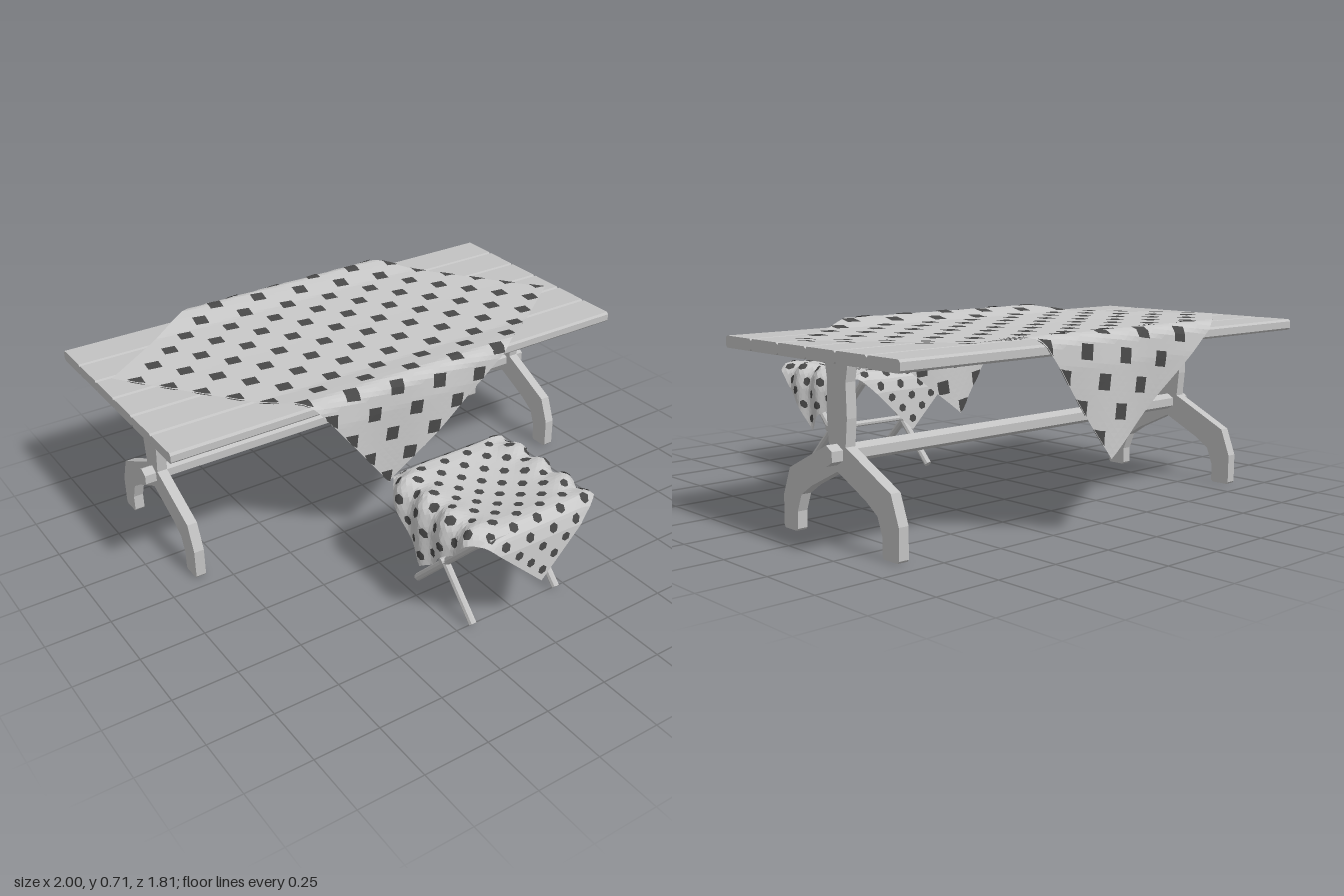
import * as THREE from 'three';
import { mergeGeometries } from 'three/addons/utils/BufferGeometryUtils.js';

export function createModel() {
  const model = new THREE.Group();
  const wood = new THREE.MeshStandardMaterial({ color: 0xc2c2c2, flatShading: true });
  const fabric = new THREE.MeshStandardMaterial({ color: 0xc8c8c8, flatShading: true, side: THREE.DoubleSide });
  const dotDark = new THREE.MeshStandardMaterial({ color: 0x484848, flatShading: true, side: THREE.DoubleSide });

  const add = (parent, name, geometry, material) => {
    const mesh = new THREE.Mesh(geometry, material);
    mesh.name = name;
    parent.add(mesh);
    return mesh;
  };
  const group = (name, x, z) => {
    const g = new THREE.Group();
    g.name = name;
    g.position.set(x, 0, z);
    model.add(g);
    return g;
  };
  // Extrudes a [z, y] outline along x, centred on x = 0
  const extrudeX = (points, width) => {
    const shape = new THREE.Shape(points.map(([z, y]) => new THREE.Vector2(-z, y)));
    return new THREE.ExtrudeGeometry(shape, { depth: width, bevelEnabled: false })
      .translate(0, 0, -width / 2).rotateY(Math.PI / 2);
  };
  // Round or faceted rod lying along x
  const rodX = (radius, length, sides) =>
    new THREE.CylinderGeometry(radius, radius, length, sides).rotateY(Math.PI / 6).rotateZ(Math.PI / 2);

  // ---------- Table ----------
  const table = group('table', 0, -0.367);

  // Six planks with chamfered long edges
  const w = 0.1585, c = 0.008;
  for (let i = 0; i < 6; i++) {
    const h = w / 2;
    const plank = add(table, 'tablePlank', extrudeX([
      [-h, 0.63 + c], [-h + c, 0.63], [h - c, 0.63], [h, 0.63 + c],
      [h, 0.672 - c], [h - c, 0.672], [-h + c, 0.672], [-h, 0.672 - c]], 2), wood);
    plank.position.z = (i - 2.5) * w;
  }

  // Forked trestle legs, outline mirrored about the middle
  const half = [[0.063, 0.63], [0.06, 0.6], [0.05, 0.55], [0.055, 0.43], [0.046, 0.335],
    [0.278, 0.22], [0.317, 0.118], [0.317, 0.008], [0.31, 0], [0.242, 0], [0.235, 0.008],
    [0.235, 0.07], [0.21, 0.135], [0.15, 0.175]];
  const outline = [...half, [0, 0.248], ...half.map(([z, y]) => [-z, y]).reverse()];
  for (const s of [-1, 1]) {
    add(table, 'trestleLeg', extrudeX(outline, 0.04), wood).position.x = s * 0.86;
    add(table, 'stretcherEnd', rodX(0.036, 0.047, 6), wood).position.set(s * 0.902, 0.306, 0);
  }
  add(table, 'stretcher', rodX(0.032, 1.78, 6), wood).position.y = 0.306;

  // ---------- Draped cloths ----------
  // place(u, v) maps a point of the flat square sheet to its draped position
  function drapedCloth(parent, name, size, cells, place, dot, pitch, phaseU, phaseV) {
    const normalAt = (u, v) => {
      const e = 0.004, p = place(u, v);
      const du = place(u + e, v).sub(p), dv = place(u, v + e).sub(p);
      return du.cross(dv).normalize();
    };
    const bend = (geometry, cu, cv, lift) => {
      const pos = geometry.attributes.position, lim = size / 2;
      for (let i = 0; i < pos.count; i++) {
        const u = THREE.MathUtils.clamp(pos.getX(i) + cu, -lim, lim);
        const v = THREE.MathUtils.clamp(pos.getY(i) + cv, -lim, lim);
        const p = place(u, v);
        if (lift) p.addScaledVector(normalAt(u, v), lift);
        pos.setXYZ(i, p.x, p.y, p.z);
      }
      geometry.computeVertexNormals();
      return geometry;
    };
    add(parent, name, bend(new THREE.PlaneGeometry(size, size, cells, cells), 0, 0, 0), fabric);
    // Dots on both faces of the sheet
    const dots = [];
    for (let u = phaseU - size / 2; u <= size / 2 + 0.01; u += pitch)
      for (let v = phaseV - size / 2; v <= size / 2 + 0.01; v += pitch)
        for (const lift of [-0.0035, 0.0035]) dots.push(bend(dot.clone(), u, v, lift));
    add(parent, name + 'Dots', mergeGeometries(dots), dotDark);
  }
  // Piecewise-linear lookup: rows of [distance, out, height]
  const follow = (rows, d) => {
    let i = 1;
    while (i < rows.length - 1 && rows[i][0] < d) i++;
    const a = rows[i - 1], b = rows[i], t = (d - a[0]) / (b[0] - a[0]);
    return [a[1] + (b[1] - a[1]) * t, a[2] + (b[2] - a[2]) * t];
  };

  // Tablecloth: lies flat, puffs up at the long edges and hangs straight down
  const tableFold = [[0, 0, 0.678], [0.34, 0.34, 0.68], [0.43, 0.43, 0.696], [0.48, 0.478, 0.703],
    [0.515, 0.51, 0.694], [0.54, 0.525, 0.672], [0.62, 0.532, 0.595], [0.97, 0.529, 0.245]];
  const placeTable = (u, v) => {
    const x = 0.6 * u + 0.8 * v, b = 0.8 * u - 0.6 * v;
    const [out, y] = follow(tableFold, Math.abs(b));
    const ripple = Math.max(0, Math.abs(b) - 0.54) * 0.03 * Math.sin(x * 14);
    return new THREE.Vector3(x, y, Math.sign(b) * (out + ripple));
  };
  drapedCloth(table, 'tablecloth', 1.35, 54, placeTable,
    new THREE.PlaneGeometry(0.055, 0.055, 2, 2).rotateZ(Math.PI / 4), 0.135, 0.1, 0.005);

  // ---------- Folding stool ----------
  const stool = group('stool', 0.008, 0.592);

  // Crossed legs, seat bars and pivot rod
  const legLength = Math.hypot(0.41, 0.42);
  for (const s of [-1, 1]) {
    for (const x of [-0.195, 0.195]) {
      const leg = add(stool, 'stoolLeg', new THREE.CylinderGeometry(0.015, 0.015, legLength, 8), wood);
      leg.position.set(x, 0.215, s * 0.035);
      leg.rotation.x = s * Math.atan2(0.41, 0.42);
    }
    add(stool, 'seatBar', new THREE.BoxGeometry(0.42, 0.03, 0.05), wood).position.set(0, 0.415, s * 0.24);
  }
  add(stool, 'pivotRod', rodX(0.012, 0.44, 8), wood).position.y = 0.19;

  // Seat cloth: sags between the bars, crumples at the sides, corners hang
  const seatFold = [[0, 0, 0], [0.2, 0.2, 0], [0.25, 0.247, -0.01], [0.29, 0.277, -0.04],
    [0.34, 0.292, -0.09], [0.53, 0.303, -0.265]];
  const placeSeat = (u, v) => {
    const a = (u + v) * Math.SQRT1_2, b = (u - v) * Math.SQRT1_2;
    const [x, dropA] = follow(seatFold, Math.abs(a));
    const [z, dropB] = follow(seatFold, Math.abs(b));
    const sag = 0.035 * Math.max(0, 1 - (a / 0.24) ** 2) * Math.max(0, 1 - (b / 0.24) ** 2);
    const side = THREE.MathUtils.smoothstep(Math.abs(a), 0.12, 0.24);
    const crumple = side * 0.012 * Math.sin(b * 48 + a * 9);
    return new THREE.Vector3(
      Math.sign(a) * (x + crumple * 0.8),
      0.458 + dropA + dropB - sag + crumple * 0.7,
      Math.sign(b) * z);
  };
  drapedCloth(stool, 'seatCloth', 0.74, 40, placeSeat,
    new THREE.RingGeometry(0, 0.019, 6, 2), 0.074, 0.037, 0.037);

  return model;
}
